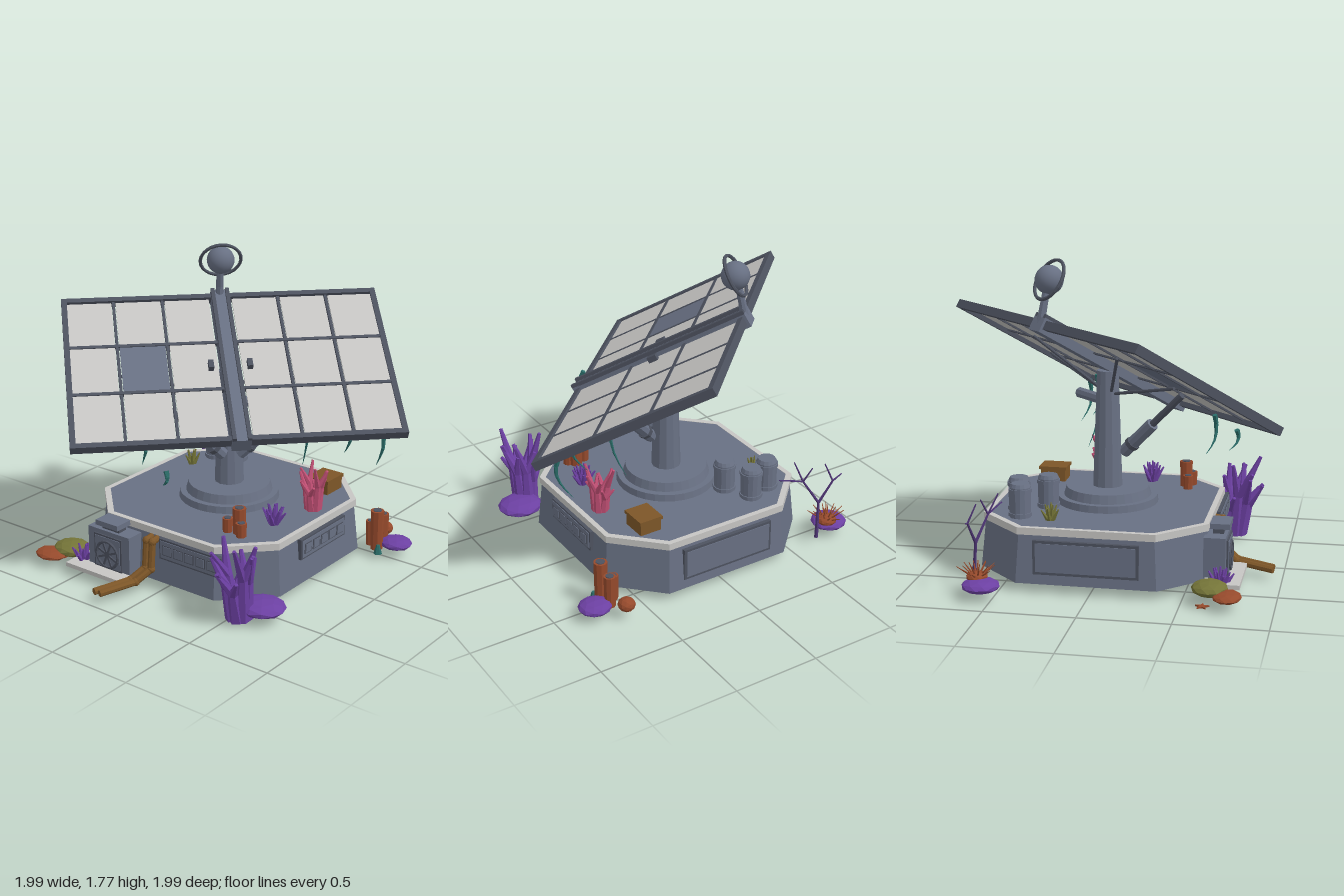
import * as THREE from 'three';

const mat = (name, color) => {
  const m = new THREE.MeshStandardMaterial({ color });
  m.name = name;
  return m;
};
const V = (x, y, z) => new THREE.Vector3(x, y, z);

export function createModel() {
  const slate = mat('slate metal', 0x687083), dark = mat('dark frame', 0x4d525f), light = mat('pale grey', 0xc6c5c3);
  const purple = mat('purple coral', 0x6c40a2), orange = mat('rust coral', 0x964a2c), pink = mat('pink coral', 0xc04f74);
  const teal = mat('teal kelp', 0x2b6d69), brown = mat('brown wood', 0x7d5628), olive = mat('olive rock', 0x747438);
  const plum = mat('plum twig', 0x4e3574);

  const root = new THREE.Group();
  const group = (name, parent = root, x = 0, y = 0, z = 0) => {
    const g = new THREE.Group();
    g.name = name;
    g.position.set(x, y, z);
    parent.add(g);
    return g;
  };
  const add = (parent, name, geo, m, x = 0, y = 0, z = 0, smooth = false) => {
    if (!smooth) {
      geo = geo.index ? geo.toNonIndexed() : geo;
      geo.computeVertexNormals();
    }
    const mesh = new THREE.Mesh(geo, m);
    mesh.name = name;
    mesh.position.set(x, y, z);
    parent.add(mesh);
    return mesh;
  };
  const box = (p, name, m, w, h, d, x, y, z) => add(p, name, new THREE.BoxGeometry(w, h, d), m, x, y, z);
  const cyl = (p, name, m, r0, r1, h, n, x, y, z) => add(p, name, new THREE.CylinderGeometry(r1, r0, h, n), m, x, y + h / 2, z);
  // tapered rod from a to b
  const rod = (p, name, m, a, b, r0, r1 = r0, n = 8) => {
    const d = b.clone().sub(a), mid = a.clone().add(b).multiplyScalar(0.5);
    const mesh = add(p, name, new THREE.CylinderGeometry(r1, r0, d.length(), n), m, mid.x, mid.y, mid.z);
    mesh.quaternion.setFromUnitVectors(V(0, 1, 0), d.normalize());
    return mesh;
  };

  // ---- hollow octagonal base ----
  const C = -0.02, base = group('base', root, C, 0, C);
  const octPoints = (h, c) => [[h, -c], [h, c], [c, h], [-c, h], [-h, c], [-h, -c], [-c, -h], [c, -h]].map(p => new THREE.Vector2(...p));
  const octagon = (name, m, half, y, h, inner, flare = 0) => {
    const s = new THREE.Shape(octPoints(half, half * 0.6));
    if (inner) s.holes.push(new THREE.Path(octPoints(inner, inner * 0.6)));
    const geo = new THREE.ExtrudeGeometry(s, { depth: h, bevelEnabled: false }).rotateX(-Math.PI / 2);
    const p = geo.attributes.position;
    for (let i = 0; i < p.count; i++) {
      const k = 1 + flare * (1 - p.getY(i) / h);
      p.setXYZ(i, p.getX(i) * k, p.getY(i), p.getZ(i) * k);
    }
    add(base, name, geo, m, 0, y, 0);
  };
  octagon('baseWall', slate, 0.62, 0.05, 0.27, 0.6, 0.04);
  octagon('baseRim', light, 0.63, 0.32, 0.04, 0.6);
  octagon('deck', slate, 0.61, 0.32, 0.038);
  cyl(base, 'underDisc', dark, 0.3, 0.3, 0.01, 32, 0, 0.311, 0);
  cyl(base, 'footDisc', slate, 0.29, 0.285, 0.04, 32, 0, 0.358, 0);
  cyl(base, 'footCollar', slate, 0.25, 0.235, 0.05, 32, 0, 0.398, 0);
  cyl(base, 'pole', slate, 0.085, 0.062, 0.67, 12, 0, 0.445, 0);

  // wall plates, each in a group turned to its side
  const side = (name, angle) => {
    const g = group(name, base);
    g.rotation.y = angle;
    return g;
  };
  const vent = (g, x) => {
    box(g, 'ventFrame', dark, 0.43, 0.12, 0.03, x, 0.255, 0.633);
    box(g, 'ventPlate', slate, 0.41, 0.1, 0.006, x, 0.255, 0.649);
    for (let i = -2; i <= 2; i++) {
      box(g, 'ventSlot', dark, 0.065, 0.06, 0.004, x + i * 0.078, 0.255, 0.653);
      box(g, 'ventLouver', slate, 0.053, 0.048, 0.004, x + i * 0.078, 0.255, 0.656);
    }
  };
  vent(side('frontVent', 0), 0.225);
  vent(side('sideVent', Math.PI / 2), 0.02);
  for (const [name, a] of [['backHatch', Math.PI], ['sideHatch', -Math.PI / 2]]) {
    const g = side(name, a);
    box(g, 'hatchFrame', dark, 0.58, 0.19, 0.03, 0, 0.2, 0.63);
    box(g, 'hatchPlate', slate, 0.55, 0.16, 0.008, 0, 0.2, 0.645);
  }

  // ---- fan unit on the front ----
  const fan = group('fanUnit', root, -0.31, 0, 0);
  box(fan, 'fanCase', slate, 0.3, 0.23, 0.12, 0, 0.185, 0.65);
  box(fan, 'fanPlate', dark, 0.2, 0.2, 0.012, 0, 0.175, 0.713);
  box(fan, 'fanFace', slate, 0.18, 0.18, 0.008, 0, 0.175, 0.719);
  add(fan, 'fanRing', new THREE.TorusGeometry(0.078, 0.009, 6, 20), dark, 0, 0.165, 0.724);
  for (let i = 0; i < 4; i++) box(fan, 'fanBlade', dark, 0.15, 0.012, 0.008, 0, 0.165, 0.725).rotation.z = 0.4 + i * Math.PI / 4;
  box(fan, 'fanNeck', dark, 0.12, 0.04, 0.06, 0, 0.315, 0.66);
  box(fan, 'fanHood', slate, 0.16, 0.03, 0.11, 0, 0.345, 0.67);
  box(fan, 'fanPad', light, 0.4, 0.025, 0.2, -0.05, 0.063, 0.7);

  // ---- twin brown pipes ----
  const pipes = group('pipes');
  for (const o of [0, 0.04]) {
    const pts = [[-0.085, 0.3, 0.58], [-0.085, 0.29, 0.645], [-0.085, 0.13, 0.66], [-0.13, 0.07, 0.74], [-0.21, 0.058, 0.95]].map(p => V(p[0] + o, p[1], p[2]));
    for (let i = 0; i < 4; i++) rod(pipes, 'pipe', brown, pts[i], pts[i + 1], 0.02);
    for (const p of pts.slice(1, 4)) add(pipes, 'pipeJoint', new THREE.IcosahedronGeometry(0.024, 1), brown, p.x, p.y, p.z);
  }

  // ---- tilted solar panel ----
  const W = 1.84, L = 1.1, T = 0.05;
  const panel = group('solarPanel', root, 0, 1.145, 0);
  panel.rotation.set(Math.PI / 6, Math.PI / 4, 0, 'YXZ');
  const pitch = 0.283, rowPitch = 0.347;
  for (const s of [-1, 1]) {
    const wing = group('panelWing', panel);
    box(wing, 'endFrame', dark, 0.032, T, L, s * (W / 2 - 0.016), 0, 0);
    for (const e of [-1, 1]) {
      box(wing, 'longFrame', dark, W / 2, T, 0.032, s * W / 4, 0, e * (L / 2 - 0.016));
      box(wing, 'rowBar', dark, 0.86, 0.026, 0.02, s * 0.48, 0.006, e * rowPitch / 2);
    }
    for (let c = 0; c < 3; c++) {
      const x = s * (0.055 + pitch * (c + 0.5));
      if (c) box(wing, 'columnBar', dark, 0.016, 0.024, L - 0.05, s * (0.055 + pitch * c), 0.004, 0);
      for (let r = -1; r <= 1; r++)
        box(wing, 'solarCell', s < 0 && c === 1 && r === 0 ? slate : light, 0.258, 0.012, 0.33, x, 0.008, r * rowPitch);
    }
    box(wing, 'panelLatch', dark, 0.03, 0.035, 0.055, s * 0.11, 0.03, 0.01);
    box(wing, 'spineRail', dark, 0.022, 0.022, L + 0.03, s * 0.042, 0.045, 0);
  }
  box(panel, 'spine', slate, 0.106, 0.085, L + 0.03, 0, -0.005, 0);

  // ---- struts, motor and back braces ----
  const frame = group('supports');
  const swap = (v, s) => (s ? V(v.z, v.y, v.x) : v);
  for (const s of [0, 1]) {
    const a = V(0.07, 0.64, 0), b = V(0.42, 1.01, -0.14), at = t => swap(a.clone().lerp(b, t), s);
    rod(frame, 'pistonSleeve', slate, at(0), at(0.5), 0.037);
    rod(frame, 'pistonCollar', dark, at(0.12), at(0.17), 0.043);
    rod(frame, 'pistonRod', dark, at(0.5), at(1), 0.02);
    rod(frame, 'backBrace', dark, swap(V(0, 0.98, -0.03), s), swap(V(0.42, 1.11, -0.44), s), 0.009);
    rod(frame, 'backBrace', dark, swap(V(0, 0.98, -0.03), s), swap(V(0.12, 1.27, -0.48), s), 0.009);
  }
  rod(frame, 'motor', slate, V(0.04, 0.93, -0.06), V(0.21, 0.93, -0.23), 0.032);

  // ---- ringed antenna ----
  const antenna = group('antenna');
  rod(antenna, 'mastFoot', slate, V(-0.33, 1.4, -0.33), V(-0.32, 1.49, -0.32), 0.028, 0.022);
  rod(antenna, 'mast', slate, V(-0.325, 1.46, -0.325), V(-0.3, 1.62, -0.3), 0.023, 0.02);
  add(antenna, 'antennaBall', new THREE.SphereGeometry(0.08, 20, 14), slate, -0.29, 1.655, -0.29, true);
  add(antenna, 'antennaRing', new THREE.TorusGeometry(0.118, 0.01, 6, 24), dark, -0.29, 1.655, -0.29).quaternion.copy(panel.quaternion);

  // ---- hanging kelp: top x, z and bottom y ----
  const kelp = group('kelp');
  for (const [x, z, y] of [[0.83, -0.3, 0.63], [0.68, -0.2, 0.7], [0.42, -0.17, 0.57], [0.11, 0.7, 0.66], [-0.12, 0.6, 0.69]]) {
    const top = 1.1 - (x + z) * 0.408, h = top - y;
    const curve = new THREE.CatmullRomCurve3([V(x, top, z), V(x + 0.015, top - h * 0.4, z + 0.01), V(x - 0.01, top - h * 0.7, z), V(x - 0.06, y, z - 0.04)]);
    const p = curve.getPoints(5);
    for (let i = 0; i < 5; i++) rod(kelp, 'kelpBlade', teal, p[i], p[i + 1], 0.016 * (1 - i / 5.5), 0.016 * (1 - (i + 1) / 5.2), 5);
  }

  // ---- deck cargo ----
  const cargo = group('cargo');
  for (const [x, z] of [[-0.44, -0.43], [-0.305, -0.47], [-0.225, -0.32]]) {
    cyl(cargo, 'canister', slate, 0.06, 0.06, 0.17, 14, x, 0.358, z);
    for (const y of [0.365, 0.5]) cyl(cargo, 'canisterBand', slate, 0.066, 0.066, 0.02, 14, x, y, z);
    cyl(cargo, 'canisterLid', slate, 0.06, 0.05, 0.02, 14, x, 0.528, z);
  }
  box(cargo, 'crate', brown, 0.13, 0.07, 0.15, 0.38, 0.393, -0.42);
  box(cargo, 'crateLid', brown, 0.145, 0.018, 0.165, 0.38, 0.437, -0.42);

  // ---- reef growth ----
  const reef = group('reef');
  const rock = (name, m, x, y, z, rx, ry, rz) => add(reef, name, new THREE.IcosahedronGeometry(1, 1), m, x, y, z).scale.set(rx, ry, rz);
  rock('purpleRock', purple, 0.645, 0.078, 0.56, 0.135, 0.042, 0.125);
  rock('purpleRock', purple, 0.785, 0.07, -0.57, 0.095, 0.035, 0.09);
  rock('purpleRock', purple, -0.81, 0.075, -0.56, 0.105, 0.038, 0.105);
  rock('oliveRock', olive, -0.65, 0.085, 0.65, 0.11, 0.042, 0.1);
  rock('rustRock', orange, -0.72, 0.066, 0.75, 0.1, 0.028, 0.08);
  rock('rustRock', orange, 0.645, 0.09, -0.67, 0.05, 0.04, 0.05);
  rock('urchinBody', orange, -0.77, 0.11, -0.59, 0.06, 0.03, 0.06);

  const tubes = [[0.355, 0.36, 0.38, 0.038, 0.15], [0.39, 0.36, 0.41, 0.032, 0.08], [0.29, 0.36, 0.4, 0.03, 0.08],
    [0.7, 0.04, -0.49, 0.04, 0.24], [0.69, 0.04, -0.57, 0.035, 0.19], [0.64, 0.04, -0.52, 0.03, 0.15]];
  for (const [x, y, z, r, h] of tubes) {
    cyl(reef, 'tubeSponge', orange, r * 0.9, r, h, 9, x, y, z);
    cyl(reef, 'tubeMouth', dark, r * 0.65, r * 0.65, 0.004, 9, x, y + h, z);
  }
  rod(reef, 'tealSprout', teal, V(0.73, 0.025, -0.46), V(0.73, 0.08, -0.46), 0.025, 0.01, 6);

  // tuft of spikes fanned round a point
  const tuft = (name, m, x, y, z, n, spread, h, r) => {
    const g = group(name, reef, x, y, z);
    for (let i = 0; i < n; i++) {
      const a = i * 2.4, k = spread * Math.sqrt((i + 0.5) / n);
      rod(g, 'spike', m, V(k * 0.2 * Math.cos(a), 0, k * 0.2 * Math.sin(a)), V(k * Math.cos(a), h * (1 - 0.4 * i / n), k * Math.sin(a)), r, r * 0.25, 5);
    }
  };
  tuft('urchinSpikes', orange, -0.77, 0.11, -0.59, 18, 0.12, 0.08, 0.007);
  tuft('deckAnemone', purple, 0.43, 0.36, 0.165, 14, 0.075, 0.12, 0.018);
  tuft('groundAnemone', purple, -0.52, 0.04, 0.69, 14, 0.085, 0.12, 0.018);
  tuft('grassTuft', olive, -0.48, 0.355, -0.25, 8, 0.055, 0.1, 0.014);

  // branching coral: stems that lean out, then split in two
  const coral = (name, m, x, y, z, n, spread, h, r, lean) => {
    const g = group(name, reef, x, y, z);
    for (let i = 0; i < n; i++) {
      const a = i * 2 * Math.PI / n + 0.4, c = Math.cos(a), s = Math.sin(a), t = h * (0.8 + 0.2 * Math.cos(i * 2.3));
      const a0 = V(c * r, 0, s * r), fork = V(c * spread * 0.5, t * 0.55, s * spread * 0.5 + lean * 0.4);
      rod(g, 'stem', m, a0, fork, r * 1.3, r * 0.8, 6);
      for (const e of [-0.5, 0.5])
        rod(g, 'branch', m, fork, V(Math.cos(a + e) * spread, t * (e > 0 ? 1 : 0.88), Math.sin(a + e) * spread + lean), r * 0.8, r * 0.3, 6);
    }
  };
  coral('tallCoral', purple, 0.56, 0.025, 0.65, 7, 0.12, 0.46, 0.034, 0.05);
  coral('pinkCoral', pink, 0.49, 0.355, -0.135, 6, 0.085, 0.28, 0.022, 0);

  // bare twig tree: pairs of points
  const twigs = [[-0.66, 0.05, -0.64, -0.68, 0.27, -0.62, 0.012], [-0.68, 0.27, -0.62, -0.76, 0.4, -0.64, 0.009], [-0.76, 0.4, -0.64, -0.83, 0.42, -0.63, 0.006],
    [-0.76, 0.4, -0.64, -0.73, 0.5, -0.6, 0.006], [-0.68, 0.27, -0.62, -0.6, 0.41, -0.57, 0.009], [-0.6, 0.41, -0.57, -0.57, 0.52, -0.52, 0.006],
    [-0.6, 0.41, -0.57, -0.64, 0.5, -0.6, 0.006], [-0.6, 0.41, -0.57, -0.46, 0.44, -0.53, 0.006]];
  for (const [a, b, c, d, e, f, r] of twigs) rod(reef, 'twig', plum, V(a, b, c), V(d, e, f), r, r * 0.65, 5);

  // starfish
  const star = new THREE.Shape(Array.from({ length: 10 }, (_, i) => {
    const r = i % 2 ? 0.016 : 0.04, a = i * Math.PI / 5;
    return new THREE.Vector2(r * Math.cos(a), r * Math.sin(a));
  }));
  add(reef, 'starfish', new THREE.ExtrudeGeometry(star, { depth: 0.009, bevelEnabled: false }).rotateX(-Math.PI / 2), orange, -0.72, 0, 0.62);

  return root;
}
